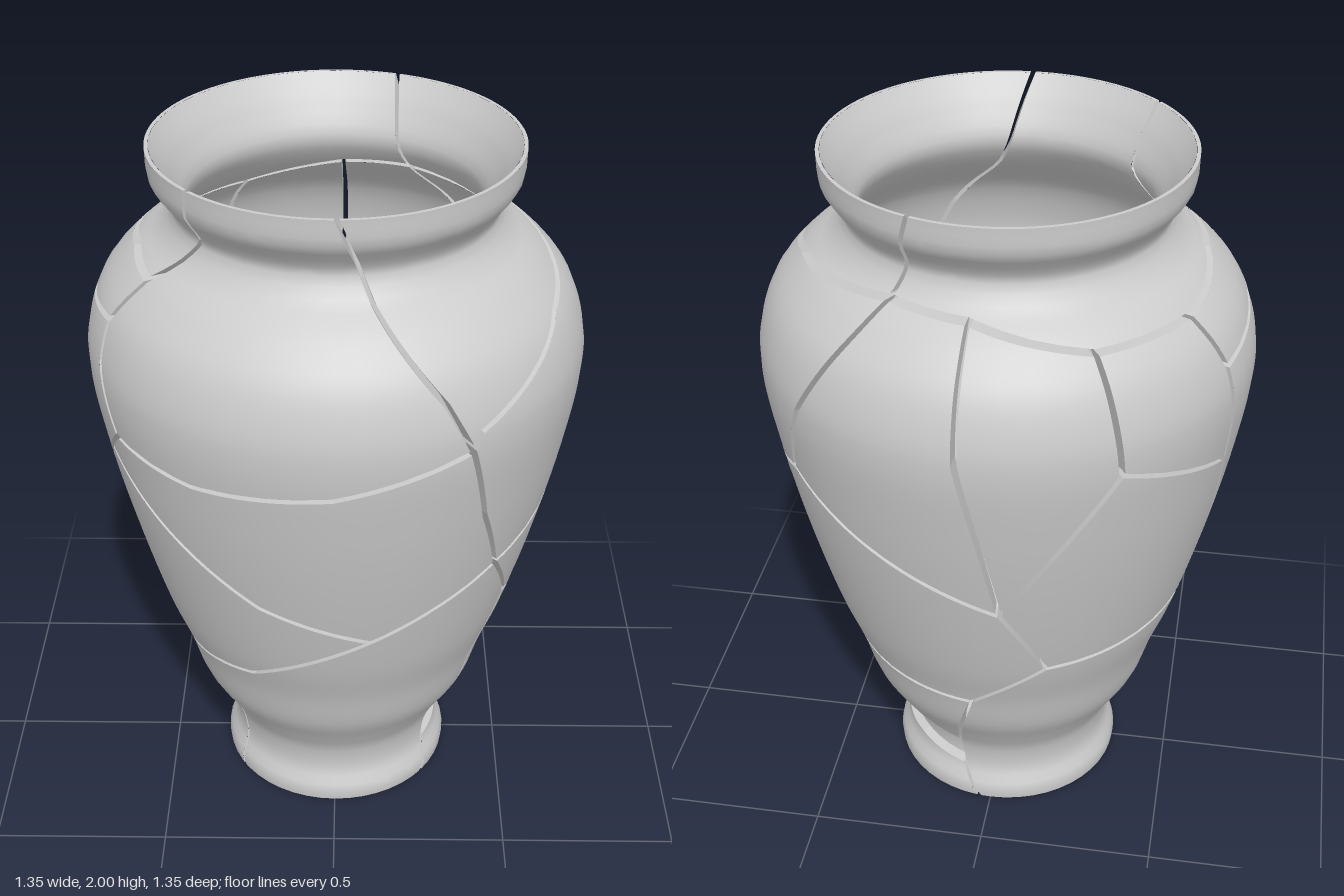
import * as THREE from 'three';

const U = 0.55;      // width of one radian in the flattened wall
const GAP = 0.007;   // half the width of a crack
const RAD = Math.PI / 180;

// radius of the wall as a function of height, from a few [radius, height] points
function profile(points) {
  const s = new THREE.CatmullRomCurve3(points.map(([r, y]) => new THREE.Vector3(r, y, 0))).getPoints(160);
  return y => {
    let i = 1;
    while (i < s.length - 1 && s[i].y < y) i++;
    const a = s[i - 1], b = s[i];
    const t = THREE.MathUtils.clamp((y - a.y) / Math.max(b.y - a.y, 1e-6), 0, 1);
    return a.x + (b.x - a.x) * t;
  };
}
const outer = profile([[0.335, 0], [0.337, 0.03], [0.325, 0.06], [0.31, 0.1], [0.318, 0.185], [0.355, 0.26],
  [0.412, 0.36], [0.455, 0.5], [0.507, 0.645], [0.59, 0.95], [0.643, 1.2], [0.672, 1.4], [0.667, 1.5],
  [0.625, 1.62], [0.54, 1.715], [0.46, 1.775], [0.43, 1.835], [0.455, 1.88], [0.485, 1.925], [0.49, 2]]);
const inner = profile([[0.275, 0], [0.27, 0.1], [0.275, 0.2], [0.355, 0.36], [0.46, 0.65], [0.54, 0.95],
  [0.595, 1.2], [0.622, 1.4], [0.615, 1.5], [0.57, 1.62], [0.43, 1.76], [0.39, 1.835], [0.425, 1.92], [0.48, 2]]);

// crack network: corner points as [angle in degrees from the front, height]
const P = {
  rimA: [1, 2], a1: [7, 1.87], a2: [12, 1.76], a3: [25, 1.56], n1: [31, 1.42],
  f1: [0, 1.33], f2: [-33, 1.295], n4: [-59, 1.31], l1: [-65, 1.5], n5: [-66, 1.61], s1: [-62, 1.72],
  b1: [-50, 1.84], rimB: [-47, 2], r1: [33, 1.47], r2: [66, 1.64], r3: [104, 1.72], n9: [152, 1.76],
  rimC: [160, 2], s2: [-84, 1.73], n6: [-118, 1.69], n8: [-149, 1.69], n21: [178, 1.75], n7: [-113, 1.545],
  c1: [136, 1.44], n10: [128, 1.215], c2: [87, 1.07], n2: [47, 0.955], a4: [37.5, 1.18], c3: [178, 1.45],
  n19: [187, 0.92], n14: [-146, 1.39], n15: [-109, 1.24], n16: [-100, 0.89], n17: [-104, 0.71],
  n18: [-159, 0.67], n20: [176, 0.49], n11: [-67, 1.23], f3: [-20, 0.9], n12: [10.5, 0.78], f4: [28, 0.87],
  f5: [-28, 0.58], n13: [-73, 0.5], n3: [63, 0.74], d1: [98, 0.6], d2: [124, 0.52],
  e1: [60, 0.2], footA: [52, 0], e2: [-62, 0.175], footB: [-57, 0], footC: [174, 0], e3: [163, 0.2],
  g1: [80, 0.25], g2: [105, 0.265], g3: [140, 0.25], h1: [59, 0.11], h2: [100, 0.12], h3: [130, 0.125],
  h4: [164, 0.105], k1: [60, 0.215], k2: [163, 0.215],
};

const shards = {
  frontShoulder: 'rimA a1 a2 a3 n1 f1 f2 n4 l1 n5 s1 b1 rimB',
  leftShoulder: 'rimA a1 a2 a3 n1 r1 r2 r3 n9 rimC',
  backRim: 'rimB b1 s1 s2 n6 n8 n21 n9 rimC',
  leftBody: 'n1 r1 r2 r3 n9 c1 n10 c2 n2 a4',
  backLeftBody: 'n9 n21 c3 n19 n10 c1',
  backBody: 'n21 n8 n14 n19 c3',
  backRightShoulder: 'n8 n6 n7 n15 n14',
  rightShoulder: 's1 n5 n7 n6 s2',
  rightBody: 'n5 l1 n4 n11 n16 n15 n7',
  backRightBody: 'n14 n15 n16 n17 n18 n19',
  frontBody: 'n4 f2 f1 n1 a4 n2 f4 n12 f3 n11',
  frontRightBody: 'n11 f3 n12 f5 n13 n17 n16',
  lowerLeftBody: 'n2 c2 n10 n19 n18 n20 d2 d1 n3',
  frontBase: 'n12 f4 n2 n3 e1 h1 footA footB e2 n13 f5',
  backBase: 'n13 e2 footB footC h4 e3 n20 n18 n17',
  leftBase: 'n3 d1 d2 n20 e3 g3 g2 g1 e1',
  leftFoot: 'h1 h2 h3 h4 footC footA',
};

// corners of a shard, counter-clockwise, pulled in by half a crack
function outline(names) {
  let last = null;
  let pts = names.split(' ').map(k => {
    let a = P[k][0];
    if (last !== null) a += 360 * Math.round((last - a) / 360);
    last = a;
    return new THREE.Vector2(a * RAD * U, P[k][1]);
  });
  if (THREE.ShapeUtils.area(pts) < 0) pts = pts.reverse();
  const n = pts.length;
  const edge = (a, b) => {
    const d = b.clone().sub(a).normalize();
    const end = a.y === b.y && (a.y === 0 || a.y === 2);
    return { x: -d.y, y: d.x, g: end ? 0 : GAP };
  };
  return pts.map((p, i) => {
    const e = edge(pts[(i + n - 1) % n], p), f = edge(p, pts[(i + 1) % n]);
    const det = e.x * f.y - e.y * f.x;
    const v = Math.abs(det) < 0.25
      ? new THREE.Vector2((e.x + f.x) * GAP / 2, (e.y + f.y) * GAP / 2)
      : new THREE.Vector2((e.g * f.y - f.g * e.y) / det, (e.x * f.g - f.x * e.g) / det);
    return v.clampLength(0, 0.03).add(p);
  });
}

// keeps the part of a convex polygon to the left of the line a-b
function clip(poly, a, b) {
  const side = p => (b.x - a.x) * (p.y - a.y) - (b.y - a.y) * (p.x - a.x);
  const out = [];
  poly.forEach((p, i) => {
    const q = poly[(i + 1) % poly.length], s = side(p), t = side(q);
    if (s >= 0) out.push(p);
    if ((s > 0 && t < 0) || (s < 0 && t > 0)) out.push(p.clone().lerp(q, s / (s - t)));
  });
  return out;
}

// bends a flat outline round the vase as a curved plate with broken edges
function shardGeometry(pts, rOut, rIn) {
  const pos = [], nor = [];
  const at = (p, f) => {
    const a = p.x / U, r = f(p.y);
    return new THREE.Vector3(r * Math.sin(a), p.y, r * Math.cos(a));
  };
  const normal = (p, f, s) => {
    const a = p.x / U, lo = Math.max(0, p.y - 0.012), hi = Math.min(2, p.y + 0.012);
    return new THREE.Vector3(Math.sin(a), -(f(hi) - f(lo)) / (hi - lo), Math.cos(a)).normalize().multiplyScalar(s);
  };
  const put = (v, n) => { pos.push(v.x, v.y, v.z); nor.push(n.x, n.y, n.z); };
  const du = 2 * Math.PI * U / 48, dv = 0.025;
  for (const face of THREE.ShapeUtils.triangulateShape(pts, [])) {
    let t = face.map(i => pts[i]);
    if (THREE.ShapeUtils.area(t) < 0) t = t.reverse();
    const xs = t.map(p => p.x), ys = t.map(p => p.y);
    for (let i = Math.floor(Math.min(...xs) / du); i * du < Math.max(...xs); i++) {
      for (let j = Math.floor(Math.min(...ys) / dv); j * dv < Math.max(...ys); j++) {
        let c = [[i, j], [i + 1, j], [i + 1, j + 1], [i, j + 1]].map(([x, y]) => new THREE.Vector2(x * du, y * dv));
        for (let k = 0; k < 3; k++) c = clip(c, t[k], t[(k + 1) % 3]);
        for (let k = 1; k < c.length - 1; k++) {
          for (const p of [c[0], c[k], c[k + 1]]) put(at(p, rOut), normal(p, rOut, 1));
          for (const p of [c[0], c[k + 1], c[k]]) put(at(p, rIn), normal(p, rIn, -1));
        }
      }
    }
  }
  // broken edges
  pts.forEach((a, i) => {
    const b = pts[(i + 1) % pts.length], steps = Math.ceil(a.distanceTo(b) / 0.03);
    for (let k = 0; k < steps; k++) {
      const p = a.clone().lerp(b, k / steps), q = a.clone().lerp(b, (k + 1) / steps);
      const v = [at(p, rOut), at(p, rIn), at(q, rIn), at(q, rOut)];
      const n = v[1].clone().sub(v[0]).cross(v[2].clone().sub(v[0])).normalize();
      for (const m of [0, 1, 2, 0, 2, 3]) put(v[m], n);
    }
  });
  const g = new THREE.BufferGeometry();
  g.setAttribute('position', new THREE.Float32BufferAttribute(pos, 3));
  g.setAttribute('normal', new THREE.Float32BufferAttribute(nor, 3));
  return g;
}

export function createModel() {
  const vase = new THREE.Group();
  vase.name = 'brokenVase';
  const material = new THREE.MeshStandardMaterial({ color: 0xcccccc });
  const thin = new THREE.MeshStandardMaterial({ color: 0xcccccc, side: THREE.DoubleSide });
  const add = (name, geometry, mat) => {
    const mesh = new THREE.Mesh(geometry, mat);
    mesh.name = name;
    vase.add(mesh);
    return mesh;
  };

  for (const [name, names] of Object.entries(shards)) {
    add(name + 'Shard', shardGeometry(outline(names), outer, inner), material);
  }

  // sunken piece behind the chipped opening above the foot
  const sunk = shardGeometry(outline('h1 h2 h3 h4 k2 k1'), y => outer(y) - 0.022, inner);
  add('sunkenChip', sunk, material);

  // floor, split into three wedges that meet in the middle
  [[52, 174], [174, 303], [303, 412]].forEach(([a, b], i) => {
    const wedge = new THREE.CylinderGeometry(0.272, 0.277, 0.06, 14, 1, false, (a + 1) * RAD, (b - a - 2) * RAD);
    add('floorWedge' + (i + 1), wedge, thin).position.y = 0.03;
  });
  return vase;
}
